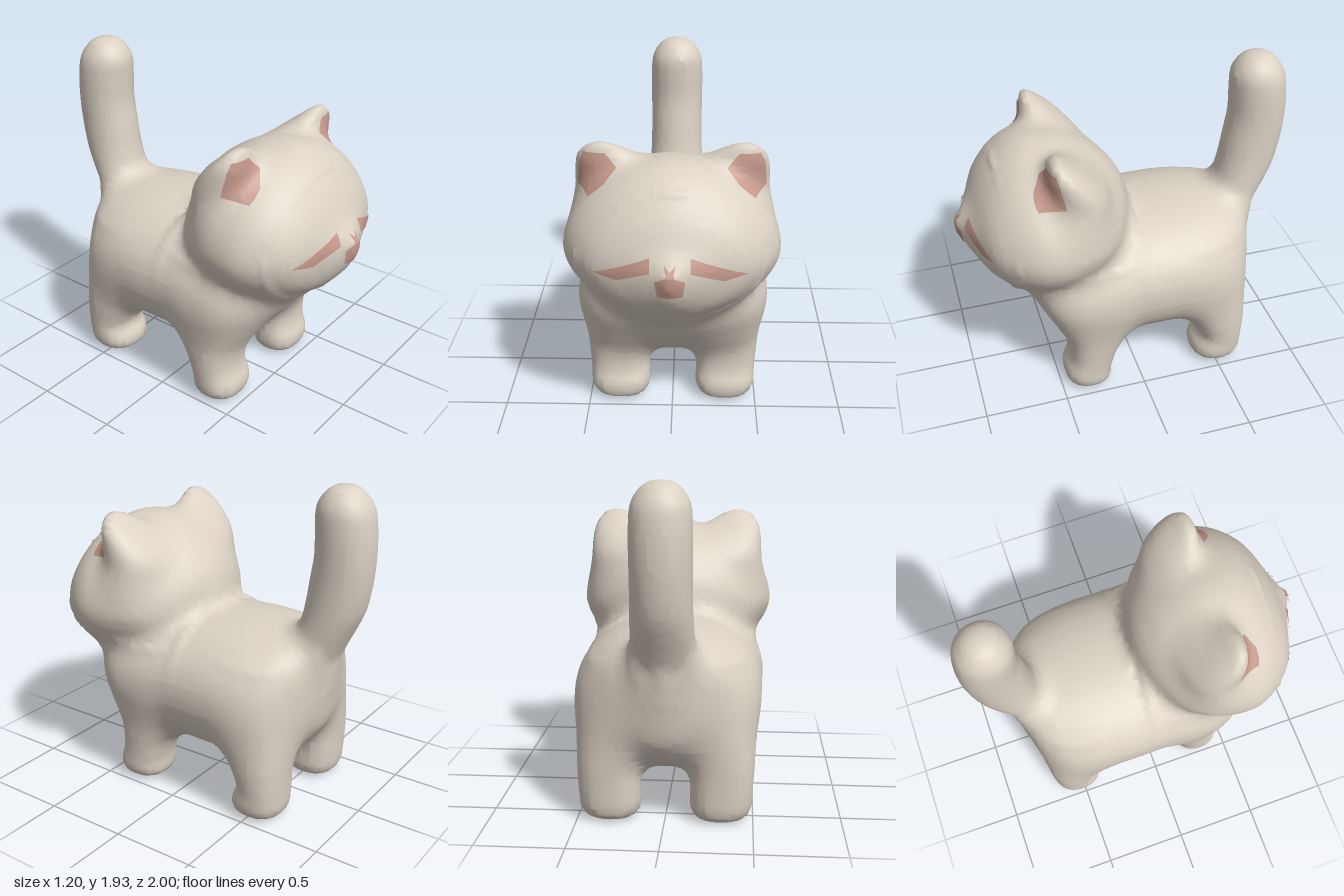
import * as THREE from 'three';

const fur = new THREE.MeshStandardMaterial({ color: 0xdbd1c4 });
fur.name = 'cream fur';
const pink = new THREE.MeshStandardMaterial({ color: 0xc69a8c });
pink.name = 'dusty pink';

// Distance-like field around superellipse sections [t, x0, x1, b0, b1, bMid?].
// axis 'z': t is z and b is y; axis 'y': t is y and b is z.
// Paired parts are described on the +x side only; blend is the fillet width.
function part(name, axis, power, blend, sections, paired = false) {
  const rows = sections.map(([t, x0, x1, b0, b1, mid = (b0 + b1) / 2]) => [x0, x1, b0, b1, mid]);
  const times = sections.map((s) => s[0]);
  const spline = new THREE.CubicInterpolant(times, rows.flat(), 5);
  const tMin = times[0], tMax = times[times.length - 1];
  const raw = (x, y, z) => {
    const t = axis === 'z' ? z : y, b = axis === 'z' ? y : z;
    const [x0, x1, b0, b1, mid] = spline.evaluate(Math.min(tMax, Math.max(tMin, t)));
    const rx = Math.max(0.01, (x1 - x0) / 2);
    const rb = Math.max(0.01, b > mid ? b1 - mid : mid - b0);
    const u = Math.abs((paired ? Math.abs(x) : x) - (x0 + x1) / 2) / rx, v = Math.abs(b - mid) / rb;
    const side = ((u ** power + v ** power) ** (1 / power) - 1) * Math.min(rx, rb);
    return Math.max(side, tMin - t, t - tMax);
  };
  const field = (x, y, z) => {
    const f = raw(x, y, z), h = 0.008;
    if (f > 1) return f;
    const slope = Math.hypot(raw(x + h, y, z) - f, raw(x, y + h, z) - f, raw(x, y, z + h) - f) / h;
    return f / Math.max(0.3, slope);
  };
  return { name, blend, paired, field };
}

// One smooth skin over all parts, cut into one named mesh per part.
function skin(parts, step = 0.036) {
  const field = (x, y, z) => parts.reduce((a, p) => {
    const b = p.field(x, y, z);
    const h = Math.max(0, p.blend - Math.abs(a - b)) / p.blend;
    return Math.min(a, b) - (h * h * p.blend) / 4;
  }, 10);
  const low = [-0.72, -0.08, -1.1], size = [41, 60, 62];
  const stride = [1, size[0], size[0] * size[1]];
  const values = new Float32Array(size[0] * size[1] * size[2]);
  const each = (fn) => {
    for (let k = 0; k < size[2]; k++) for (let j = 0; j < size[1]; j++) for (let i = 0; i < size[0]; i++) {
      fn([i, j, k], i + j * stride[1] + k * stride[2]);
    }
  };
  each((c, n) => { values[n] = field(...c.map((v, a) => low[a] + v * step)); });

  // one vertex per crossed cell, moved onto the surface
  const pos = [], cell = new Map(), h = 0.012;
  const vertex = (n) => {
    if (cell.has(n)) return cell.get(n);
    const c = [n % size[0], Math.floor(n / stride[1]) % size[1], Math.floor(n / stride[2])];
    let p = c.map((v, a) => low[a] + (v + 0.5) * step);
    for (let r = 0; r < 4; r++) {
      const g = p.map((_, a) => {
        const at = (d) => field(...p.map((v, b) => v + (a === b ? d : 0)));
        return (at(h) - at(-h)) / (2 * h);
      });
      const move = field(...p) / Math.max(0.4, g[0] ** 2 + g[1] ** 2 + g[2] ** 2);
      p = p.map((v, a) => v - g[a] * Math.max(-0.02, Math.min(0.02, move)));
    }
    cell.set(n, pos.length / 3);
    pos.push(...p);
    return pos.length / 3 - 1;
  };

  // one quad per crossed grid edge, filed under the nearest part
  const faces = new Map();
  each((c, n) => {
    for (let a = 0; a < 3; a++) {
      const sb = stride[(a + 1) % 3], sc = stride[(a + 2) % 3];
      if (c[a] + 1 >= size[a] || (values[n] < 0) === (values[n + stride[a]] < 0)) continue;
      const q = [n - sb - sc, n - sc, n, n - sb].map(vertex);
      if (values[n] >= 0) q.reverse();
      const [x, y, z] = pos.slice(q[0] * 3, q[0] * 3 + 3);
      const near = parts.reduce((m, p) => (p.field(x, y, z) < m.field(x, y, z) ? p : m));
      const name = near.name + (near.paired ? (x > 0 ? 'Left' : 'Right') : '');
      if (!faces.has(name)) faces.set(name, []);
      faces.get(name).push(q[0], q[1], q[2], q[0], q[2], q[3]);
    }
  });
  const whole = new THREE.BufferGeometry();
  whole.setAttribute('position', new THREE.Float32BufferAttribute(pos, 3));
  whole.setIndex([...faces.values()].flat());
  whole.computeVertexNormals();
  return [...faces].map(([name, index]) => {
    whole.setIndex(index);
    const mesh = new THREE.Mesh(whole.toNonIndexed(), fur);
    mesh.name = name;
    return mesh;
  });
}

// Thin marking: an outline (counter-clockwise, x-y) laid onto the skin from the front.
function marking(name, outline, targets) {
  const ray = new THREE.Raycaster();
  const edge = [], rings = 6, cuts = 5;
  outline.forEach(([x, y], i) => {
    const [nx, ny] = outline[(i + 1) % outline.length];
    for (let k = 0; k < cuts; k++) edge.push([x + ((nx - x) * k) / cuts, y + ((ny - y) * k) / cuts]);
  });
  const n = edge.length;
  const cx = outline.reduce((s, p) => s + p[0], 0) / outline.length;
  const cy = outline.reduce((s, p) => s + p[1], 0) / outline.length;
  const pos = [], index = [];
  let lastZ = 0.5;
  const put = (x, y) => {
    ray.set(new THREE.Vector3(x, y, 5), new THREE.Vector3(0, 0, -1));
    const hit = ray.intersectObjects(targets, false)[0];
    if (hit) lastZ = hit.point.z;
    pos.push(x, y, lastZ + 0.008);
  };
  put(cx, cy);
  for (let r = 1; r <= rings; r++) {
    for (const [x, y] of edge) put(cx + ((x - cx) * r) / rings, cy + ((y - cy) * r) / rings);
  }
  for (let j = 0; j < n; j++) {
    const k = (j + 1) % n;
    index.push(0, 1 + j, 1 + k);
    for (let r = 0; r < rings - 1; r++) {
      const p = 1 + r * n, q = p + n;
      index.push(p + j, q + j, q + k, p + j, q + k, p + k);
    }
  }
  const g = new THREE.BufferGeometry();
  g.setAttribute('position', new THREE.Float32BufferAttribute(pos, 3));
  g.setIndex(index);
  g.computeVertexNormals();
  const mesh = new THREE.Mesh(g, pink);
  mesh.name = name;
  return mesh;
}

const centred = (list) => list.map(([t, w, ...rest]) => [t, -w, w, ...rest]);

export function createModel() {
  const cat = new THREE.Group();
  cat.name = 'cat';

  // z, half width, bottom, top, height of widest point
  const torso = part('torso', 'z', 2.1, 0.1, centred([
    [-0.785, 0.04, 0.7, 0.86, 0.78], [-0.76, 0.15, 0.55, 0.97, 0.77], [-0.71, 0.3, 0.44, 1.03, 0.75],
    [-0.62, 0.42, 0.35, 1.07, 0.72], [-0.5, 0.495, 0.29, 1.085, 0.7], [-0.35, 0.535, 0.265, 1.095, 0.7],
    [0, 0.545, 0.26, 1.09, 0.7], [0.25, 0.54, 0.275, 1.08, 0.71], [0.42, 0.515, 0.36, 1.07, 0.72],
    [0.55, 0.435, 0.5, 1.03, 0.75], [0.65, 0.3, 0.64, 1.0, 0.82], [0.72, 0.17, 0.76, 1.0, 0.88],
    [0.77, 0.05, 0.86, 1.0, 0.93],
  ]));
  const head = part('head', 'z', 1.85, 0.11, centred([
    [-0.01, 0.08, 1.02, 1.19, 1.1], [0.02, 0.2, 0.95, 1.28, 1.1], [0.1, 0.37, 0.85, 1.4, 1.1],
    [0.2, 0.49, 0.78, 1.49, 1.1], [0.35, 0.57, 0.72, 1.57, 1.1], [0.5, 0.6, 0.7, 1.595, 1.1],
    [0.62, 0.585, 0.71, 1.58, 1.1], [0.75, 0.505, 0.75, 1.5, 1.1], [0.85, 0.39, 0.82, 1.37, 1.1],
    [0.92, 0.21, 0.9, 1.235, 1.1], [0.97, 0.08, 0.98, 1.165, 1.1], [0.998, 0.03, 1.05, 1.13, 1.1],
  ]));
  // y, half width, back z, front z
  const tail = part('tail', 'y', 2.05, 0.1, centred([
    [0.75, 0.15, -0.74, -0.5], [0.9, 0.175, -0.8, -0.52], [1.02, 0.175, -0.855, -0.55], [1.12, 0.173, -0.905, -0.585],
    [1.22, 0.168, -0.95, -0.61], [1.38, 0.165, -0.985, -0.635], [1.55, 0.166, -0.998, -0.66],
    [1.72, 0.165, -0.99, -0.658], [1.81, 0.155, -0.972, -0.66], [1.87, 0.125, -0.935, -0.69],
    [1.91, 0.085, -0.895, -0.73], [1.93, 0.045, -0.855, -0.765],
  ]));
  // y, inner x, outer x, back z, front z
  const frontLeg = part('frontLeg', 'y', 2.4, 0.12, [
    [0, 0.22, 0.4, 0.23, 0.4], [0.015, 0.18, 0.445, 0.2, 0.44], [0.06, 0.145, 0.487, 0.18, 0.468],
    [0.12, 0.14, 0.495, 0.178, 0.468], [0.18, 0.143, 0.497, 0.165, 0.445], [0.25, 0.14, 0.502, 0.145, 0.438],
    [0.35, 0.13, 0.51, 0.1, 0.45], [0.5, 0.13, 0.517, 0.06, 0.495], [0.7, 0.15, 0.51, 0.06, 0.53],
    [0.85, 0.2, 0.44, 0.1, 0.48],
  ], true);
  const backLeg = part('backLeg', 'y', 2.3, 0.12, [
    [0, 0.22, 0.4, -0.61, -0.43], [0.015, 0.18, 0.445, -0.645, -0.395], [0.06, 0.145, 0.487, -0.675, -0.362],
    [0.12, 0.14, 0.495, -0.683, -0.37], [0.18, 0.143, 0.497, -0.685, -0.4], [0.25, 0.14, 0.502, -0.688, -0.38],
    [0.35, 0.13, 0.508, -0.692, -0.33], [0.5, 0.12, 0.505, -0.68, -0.26], [0.7, 0.12, 0.465, -0.63, -0.24],
    [0.85, 0.15, 0.37, -0.56, -0.28],
  ], true);
  const ear = part('ear', 'y', 2.1, 0.1, [
    [1.15, 0.2, 0.52, 0.25, 0.5], [1.25, 0.16, 0.535, 0.22, 0.51], [1.4, 0.13, 0.537, 0.2, 0.52],
    [1.5, 0.15, 0.533, 0.26, 0.525], [1.57, 0.2, 0.52, 0.33, 0.525], [1.625, 0.26, 0.49, 0.4, 0.515],
    [1.655, 0.32, 0.45, 0.44, 0.508], [1.668, 0.36, 0.41, 0.465, 0.492],
  ], true);

  const meshes = skin([torso, head, tail, frontLeg, backLeg, ear]);
  cat.add(...meshes);

  // face markings
  const face = meshes.filter((m) => /head|ear/.test(m.name));
  const innerEar = [[0.295, 1.55], [0.36, 1.475], [0.45, 1.4], [0.515, 1.43], [0.5, 1.57], [0.475, 1.622], [0.36, 1.622]];
  const eye = [[0.105, 1.205], [0.105, 1.13], [0.28, 1.06], [0.41, 1.08]];
  const mirror = (list) => list.map(([x, y]) => [-x, y]).reverse();
  cat.add(marking('innerEarLeft', innerEar, face), marking('innerEarRight', mirror(innerEar), face));
  cat.add(marking('eyeLeft', eye, face), marking('eyeRight', mirror(eye), face));
  cat.add(marking('nose', [
    [0, 1.15], [-0.03, 1.18], [-0.02, 1.125], [-0.08, 1.09], [-0.065, 1.0],
    [0.065, 1.0], [0.08, 1.09], [0.02, 1.125], [0.03, 1.18],
  ], face));
  return cat;
}
